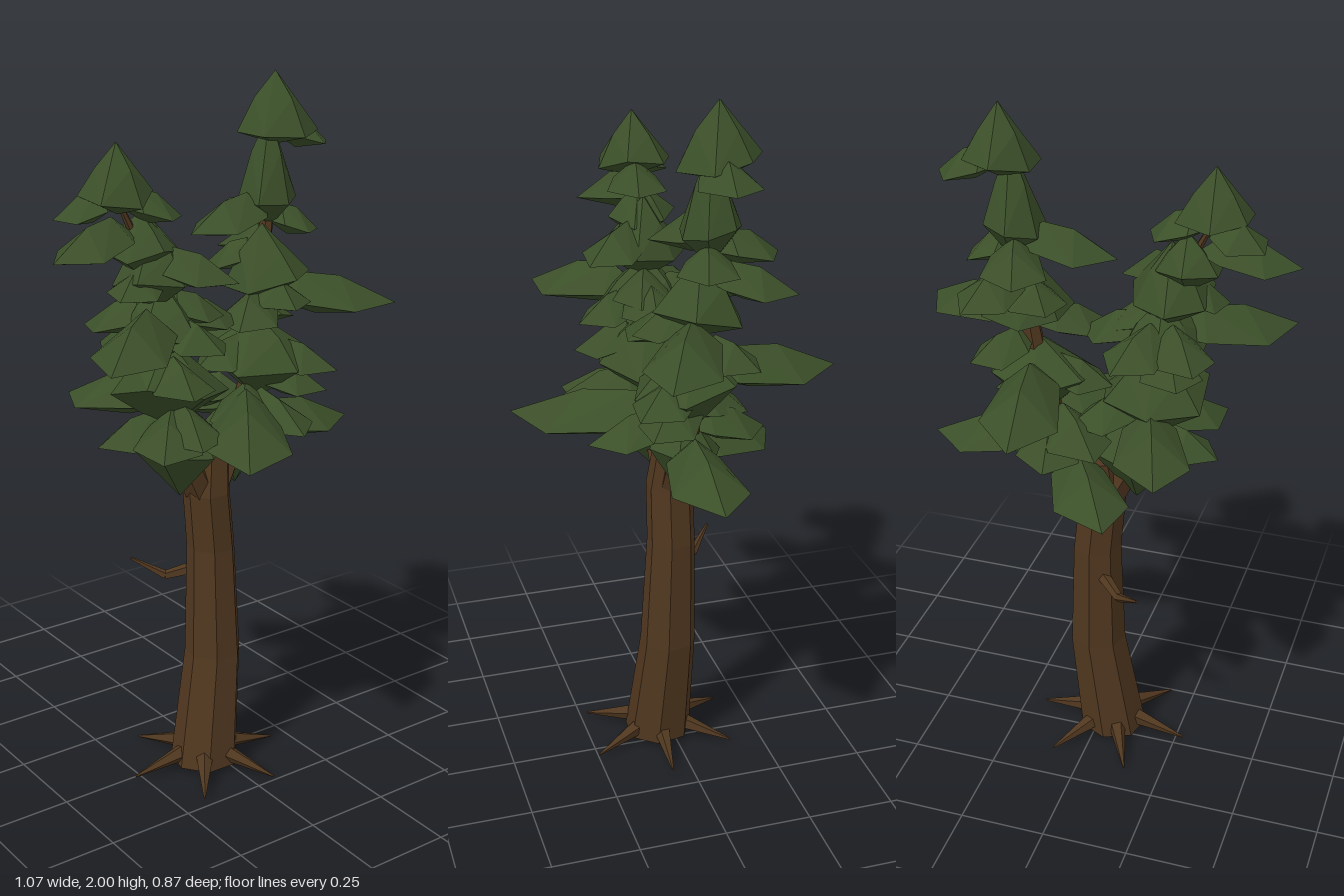
import * as THREE from 'three';
import { ConvexGeometry } from 'three/addons/geometries/ConvexGeometry.js';

const V = (x, y, z) => new THREE.Vector3(x, y, z);
const bark = new THREE.MeshStandardMaterial({ color: 0x50371f, flatShading: true });
const leaf = new THREE.MeshStandardMaterial({ color: 0x3b4f29, flatShading: true });

// Faceted stem from sections [x, y, z, radius], closed at both ends
function stem(name, sections, sides) {
  const pos = [], idx = [];
  for (const [x, y, z, r] of sections)
    for (let i = 0; i < sides; i++) {
      const a = (i / sides) * Math.PI * 2 + 0.25;
      pos.push(x + r * Math.cos(a), y, z + r * Math.sin(a));
    }
  for (let j = 0; j < sections.length - 1; j++)
    for (let i = 0; i < sides; i++) {
      const a = j * sides + i, b = j * sides + ((i + 1) % sides);
      idx.push(a, a + sides, b, b, a + sides, b + sides);
    }
  const top = (sections.length - 1) * sides;
  for (let i = 1; i < sides - 1; i++) idx.push(0, i, i + 1, top, top + i + 1, top + i);
  const g = new THREE.BufferGeometry();
  g.setAttribute('position', new THREE.Float32BufferAttribute(pos, 3));
  g.setIndex(idx);
  g.computeVertexNormals();
  const m = new THREE.Mesh(g, bark);
  m.name = name;
  return m;
}

// Centre of a stem at a given height
function centreAt(sections, y) {
  let i = 1;
  while (i < sections.length - 1 && sections[i][1] < y) i++;
  const a = V(...sections[i - 1]), b = V(...sections[i]);
  return a.clone().lerp(b, THREE.MathUtils.clamp((y - a.y) / (b.y - a.y), 0, 1));
}

// Straight tapered limb between two points
function limb(name, a, b, ra, rb) {
  const d = b.clone().sub(a);
  const m = new THREE.Mesh(new THREE.CylinderGeometry(rb, ra, d.length(), 5), bark);
  m.position.copy(a).addScaledVector(d, 0.5);
  m.quaternion.setFromUnitVectors(V(0, 1, 0), d.normalize());
  m.name = name;
  return m;
}

// Flat, ridged needle pad growing from a leader out to its tip
function pad(sections, tip) {
  const a = centreAt(sections, tip.y + 0.035), d = tip.clone().sub(a);
  const side = V(-d.z, 0, d.x).normalize();
  const width = 0.13 + 0.2 * d.length(), height = 0.05 + 0.11 * d.length();
  const at = (t, s, h) => a.clone().addScaledVector(d, t).addScaledVector(side, s * width).add(V(0, h * height, 0));
  const m = new THREE.Mesh(new ConvexGeometry([
    at(0, 0, 0), at(0.22, 0.36, 0), at(0.22, -0.36, 0), at(0.64, 0.5, -0.1), at(0.7, -0.5, -0.1),
    at(1, 0, 0), at(0.28, 0, 0.8), at(0.58, 0, 0.75), at(0.4, 0, -0.45), at(0.75, 0, -0.25),
  ]), leaf);
  m.name = 'needlePad';
  return m;
}

// Irregular pointed clump wrapped around a leader
let seed = 7;
const rnd = () => (seed = (seed * 16807) % 2147483647) / 2147483647;
function clump(sections, y, r, up, down) {
  const c = centreAt(sections, y);
  const pts = [c.clone().add(V(0, up, 0)), c.clone().add(V(0, -down, 0))];
  for (let i = 0; i < 6; i++) {
    const a = (i / 6) * Math.PI * 2 + 0.4, k = r * (0.85 + 0.25 * rnd());
    pts.push(c.clone().add(V(k * Math.cos(a), (rnd() - 0.5) * r * 0.4, k * Math.sin(a))));
    if (i % 2) pts.push(c.clone().add(V(k * 0.55 * Math.cos(a), up * 0.55, k * 0.55 * Math.sin(a))));
  }
  const m = new THREE.Mesh(new ConvexGeometry(pts), leaf);
  m.name = 'foliageClump';
  return m;
}

// One leader with its clumps [height, radius, rise, drop], long pads and a spiral of short pads
function crown(name, sections, clumps, tips, spin) {
  const g = new THREE.Group();
  g.name = name;
  g.add(stem('leader', sections, 6));
  for (const c of clumps) g.add(clump(sections, ...c));
  for (const t of tips) g.add(pad(sections, V(...t)));
  for (let i = 0; i < 6; i++) {
    const y = 1.04 + 0.085 * i, a = spin + i * 2.4, reach = 0.24 - 0.015 * i;
    g.add(pad(sections, centreAt(sections, y).add(V(reach * Math.cos(a), 0, reach * Math.sin(a)))));
  }
  return g;
}

export function createModel() {
  const tree = new THREE.Group();

  tree.add(stem('trunk', [
    [-0.045, 0, 0.04, 0.07], [-0.045, 0.015, 0.04, 0.1], [0, 0.35, 0.02, 0.083],
    [0, 0.68, 0.01, 0.071], [-0.015, 0.85, 0.01, 0.069], [0, 0.98, 0, 0.06],
  ], 7));

  // Root spikes around the foot
  for (let i = 0; i < 6; i++) {
    const a = (i / 6) * Math.PI * 2 + 0.09;
    const at = (r, y) => V(-0.045 + r * Math.cos(a), y, 0.04 + r * Math.sin(a));
    tree.add(limb('root', at(0.06, 0.052), at(0.232, 0.014), 0.028, 0.003));
  }

  // Dead, bent branch at the back
  const bend = V(-0.095, 0.572, -0.085);
  tree.add(limb('deadBranchBase', V(-0.03, 0.6, -0.03), bend, 0.02, 0.014));
  tree.add(limb('deadBranchTip', bend, V(-0.17, 0.62, -0.155), 0.014, 0.004));

  tree.add(crown('rightCrown', [
    [-0.03, 0.84, 0.01, 0.05], [-0.11, 1, 0.02, 0.042], [-0.16, 1.2, 0.03, 0.034],
    [-0.2, 1.5, 0.03, 0.022], [-0.31, 1.72, 0.03, 0.006],
  ], [
    [1.72, 0.11, 0.145, 0.04], [1.58, 0.1, 0.1, 0.07], [1.49, 0.12, 0.16, 0.08],
    [1.34, 0.14, 0.15, 0.06], [1.2, 0.16, 0.13, 0.13], [1.02, 0.14, 0.13, 0.16],
  ], [
    [-0.46, 1.67, -0.04], [-0.13, 1.66, 0.06], [-0.537, 1.59, 0.09], [-0.06, 1.5, 0.22],
    [-0.5, 1.34, 0.29], [-0.32, 1.06, 0.25], [-0.26, 1.1, -0.33], [-0.12, 1.32, 0.24],
    [-0.31, 1.35, -0.15], [0.06, 1.35, 0.06], [-0.1, 1.35, -0.2], [-0.21, 1.08, 0.27],
  ], 3.3));

  tree.add(crown('leftCrown', [
    [0.01, 0.84, 0, 0.05], [0.09, 1, 0, 0.042], [0.16, 1.2, 0, 0.034],
    [0.2, 1.5, -0.02, 0.024], [0.25, 1.84, -0.04, 0.006],
  ], [
    [1.84, 0.115, 0.16, 0.04], [1.66, 0.09, 0.23, 0.09], [1.43, 0.13, 0.16, 0.06],
    [1.22, 0.165, 0.12, 0.13], [1, 0.12, 0.12, 0.15],
  ], [
    [0.425, 1.795, -0.03], [-0.06, 1.59, 0], [0.36, 1.56, 0.02], [0.29, 1.49, -0.25],
    [0.535, 1.35, 0.165], [0.31, 1.19, 0.185], [0.1, 1.21, -0.435], [0.49, 0.98, 0.01],
    [0.12, 1.06, 0.28], [-0.18, 1.06, 0.432], [0, 1.34, 0.14], [-0.05, 1.08, 0.22],
    [-0.12, 0.94, -0.32], [-0.06, 1.08, -0.2], [0.15, 1.57, -0.24],
  ], 4.6));

  return tree;
}
